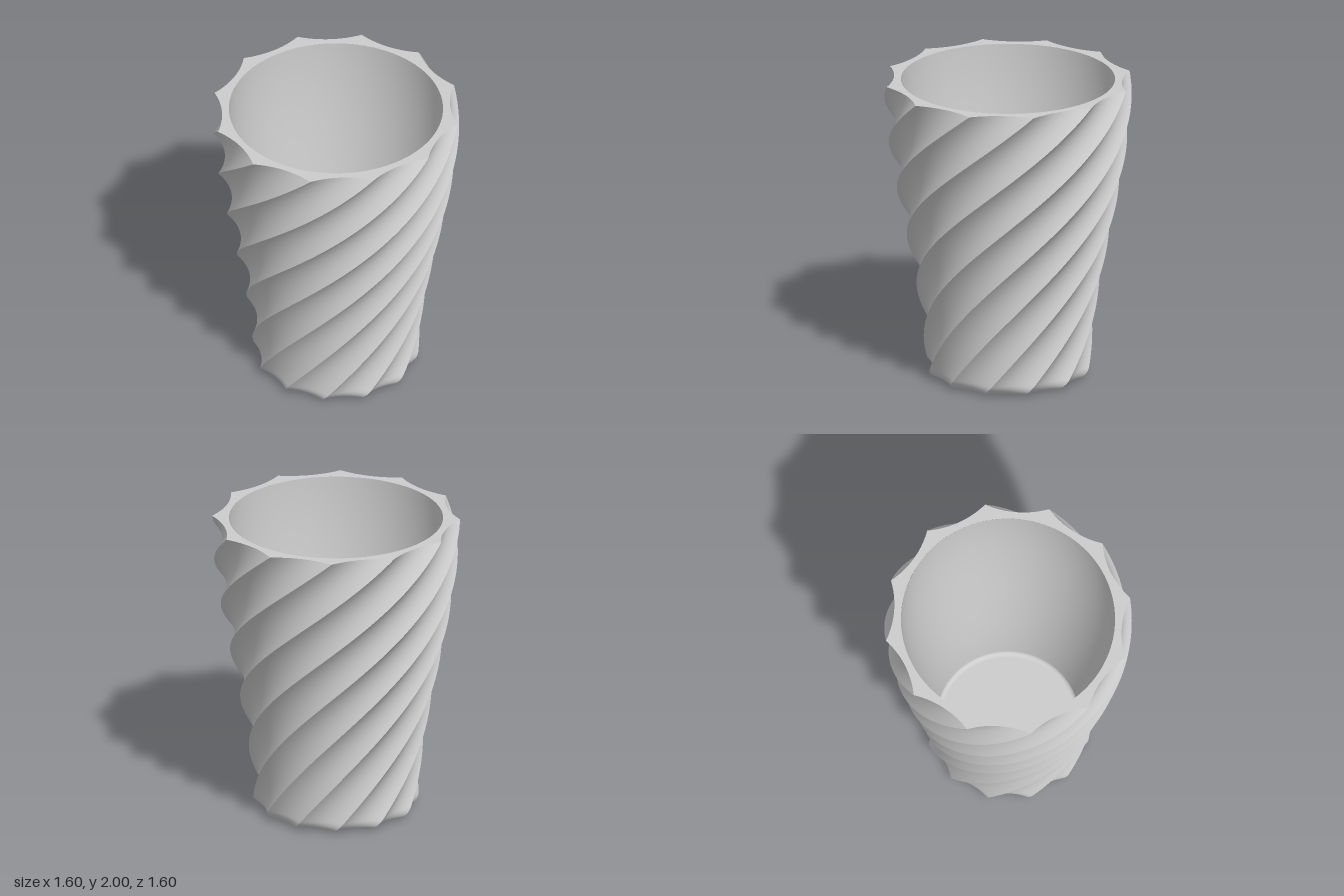
import * as THREE from 'three';

const H = 2, FLUTES = 12, HALF = Math.PI / FLUTES, TWIST = Math.PI;
const FILLET = 0.075, FLOOR = 0.1, INNER_RATIO = 0.8625;
const VALLEY = 0.92; // flute depth relative to the ridge radius

// Ridge radius at height y: a gentle S from base to mouth
const ridgeRadius = (y) => 0.533 + 0.267 * THREE.MathUtils.smoothstep(y, 0, H);

// Concave circular arc of one flute, centred on angle 0; s runs -1..1
const chordMid = Math.cos(HALF), sag = chordMid - VALLEY;
const arcR = (Math.sin(HALF) ** 2 + sag ** 2) / (2 * sag);
const arcC = VALLEY + arcR;
function flutePoint(s, y, inset) {
  const R = ridgeRadius(y), rho = arcR + inset / R;
  const a = s * (Math.asin(arcC * Math.sin(HALF) / rho) - HALF);
  const side = rho * Math.sin(a), out = arcC - rho * Math.cos(a);
  return { r: R * Math.hypot(side, out), phi: Math.atan2(side, out) };
}

// One twisted flute, with a rounded foot
function fluteGeometry() {
  const cols = 14, rows = [];
  for (let i = 0; i < 10; i++) {
    const t = (i / 10) * Math.PI / 2;
    rows.push([FILLET * (1 - Math.cos(t)), FILLET * (1 - Math.sin(t))]);
  }
  for (let i = 0; i <= 80; i++) rows.push([FILLET + (H - FILLET) * i / 80, 0]);
  const pos = [], idx = [];
  rows.forEach(([y, inset], j) => {
    for (let i = 0; i <= cols; i++) {
      const { r, phi } = flutePoint(2 * i / cols - 1, y, inset);
      const a = phi + HALF + TWIST * y / H;
      pos.push(r * Math.sin(a), y, r * Math.cos(a));
      if (j && i) {
        const d = j * (cols + 1) + i, b = d - cols - 1;
        idx.push(b - 1, b, d - 1, b, d, d - 1);
      }
    }
  });
  const g = new THREE.BufferGeometry();
  g.setAttribute('position', new THREE.Float32BufferAttribute(pos, 3));
  g.setIndex(idx);
  g.computeVertexNormals();
  return g;
}

// Scalloped outline at a given height
function outline(y, inset) {
  const pts = [];
  for (let k = 0; k < FLUTES; k++) {
    for (let i = 0; i < 14; i++) {
      const { r, phi } = flutePoint(2 * i / 14 - 1, y, inset);
      const a = phi + HALF * (2 * k + 1);
      pts.push(new THREE.Vector2(r * Math.cos(a), r * Math.sin(a)));
    }
  }
  return new THREE.Shape(pts);
}

export function createModel() {
  const cup = new THREE.Group();
  cup.name = 'twistedCup';
  const grey = new THREE.MeshStandardMaterial({ color: 0xcccccc });
  grey.name = 'lightGrey';
  const add = (name, geo, parent = cup) => {
    const m = new THREE.Mesh(geo, grey);
    m.name = name;
    parent.add(m);
    return m;
  };

  // Fluted outer wall
  const wall = new THREE.Group();
  wall.name = 'outerWall';
  cup.add(wall);
  const flute = fluteGeometry();
  for (let k = 0; k < FLUTES; k++) add('flute', flute, wall).rotation.y = 2 * HALF * k;

  // Flat rim between the scalloped edge and the round mouth
  const rim = outline(H, 0);
  const mouth = INNER_RATIO * ridgeRadius(H);
  rim.holes.push(new THREE.Path().absarc(0, 0, mouth, 0, Math.PI * 2, true));
  add('rim', new THREE.ShapeGeometry(rim, 96).rotateX(-Math.PI / 2).translate(0, H, 0));

  // Flat underside
  add('base', new THREE.ShapeGeometry(outline(0, FILLET)).rotateX(Math.PI / 2));

  // Smooth round interior with a small fillet at the floor
  const f = 0.03, profile = [];
  for (let i = 0; i <= 40; i++) {
    const y = H + (FLOOR + f - H) * i / 40;
    profile.push(new THREE.Vector2(INNER_RATIO * ridgeRadius(y), y));
  }
  const rFloor = INNER_RATIO * ridgeRadius(FLOOR + f);
  for (let i = 1; i <= 8; i++) {
    const t = (i / 8) * Math.PI / 2;
    profile.push(new THREE.Vector2(rFloor - f * (1 - Math.cos(t)), FLOOR + f * (1 - Math.sin(t))));
  }
  profile.push(new THREE.Vector2(rFloor - f - 0.01, FLOOR), new THREE.Vector2(0, FLOOR));
  add('interior', new THREE.LatheGeometry(profile, 96));

  return cup;
}
